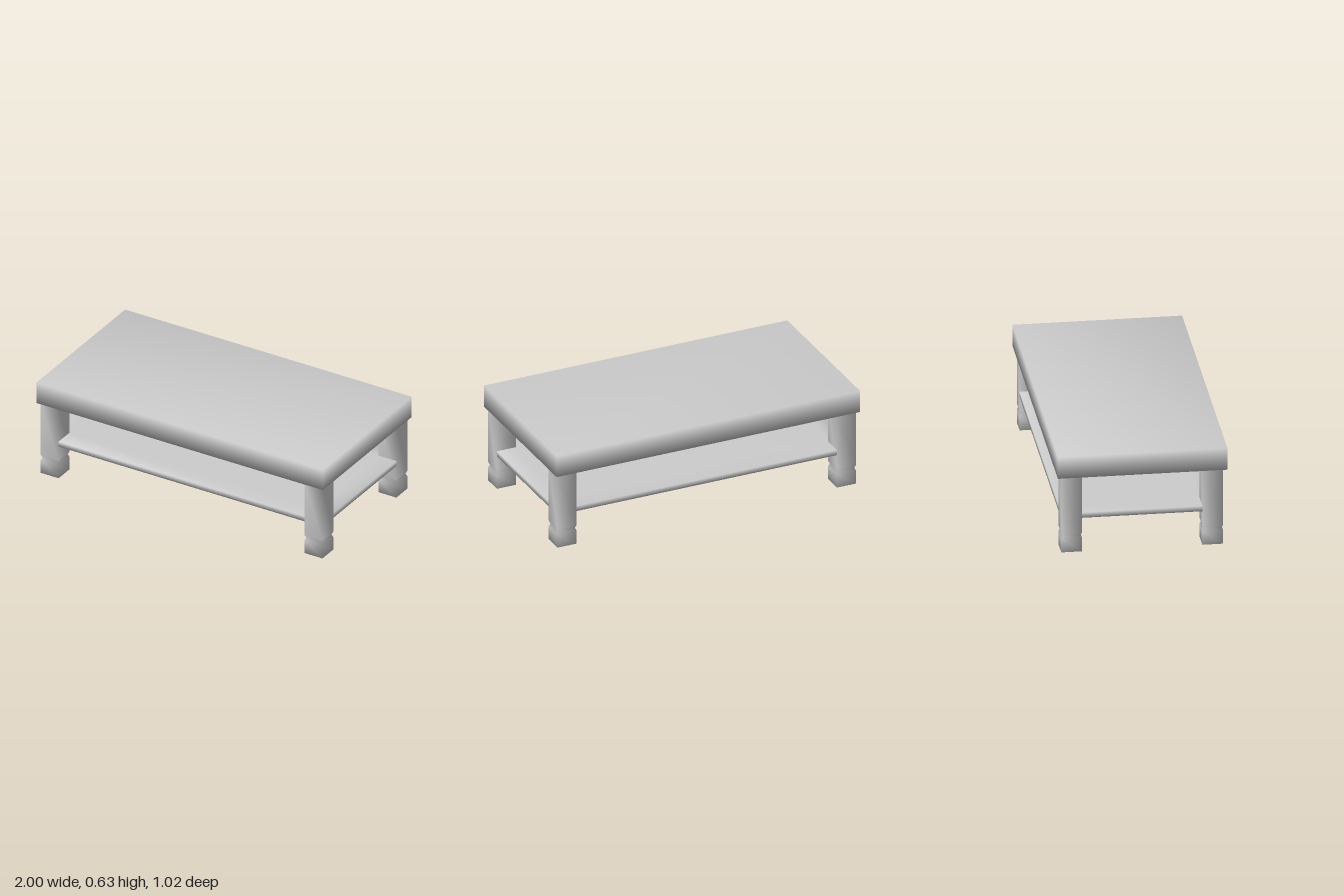
import * as THREE from 'three';
import { mergeVertices } from 'three/addons/utils/BufferGeometryUtils.js';

const material = new THREE.MeshStandardMaterial({ color: 0xcccccc });

// Weld shared corners so the shading is smooth over every edge
function smoothMesh(geometry, name) {
  geometry.deleteAttribute('uv');
  geometry.deleteAttribute('normal');
  const welded = mergeVertices(geometry, 1e-4);
  welded.computeVertexNormals();
  const mesh = new THREE.Mesh(welded, material);
  mesh.name = name;
  return mesh;
}

// Square post with a shallow groove above the foot
function legGeometry(half) {
  const profile = [
    [0, 0], [half, 0], [half, 0.087], [half - 0.008, 0.105], [half, 0.123], [half, 0.487],
  ].map(([r, y]) => new THREE.Vector2(r * Math.SQRT2, y));
  return new THREE.LatheGeometry(profile, 4, Math.PI / 4);
}

// Plank with its corners cut out to fit between the legs
function shelfGeometry(outX, outZ, inX, inZ, thickness) {
  const shape = new THREE.Shape([
    [inX, -outZ], [inX, -inZ], [outX, -inZ], [outX, inZ], [inX, inZ], [inX, outZ],
    [-inX, outZ], [-inX, inZ], [-outX, inZ], [-outX, -inZ], [-inX, -inZ], [-inX, -outZ],
  ].map(([x, z]) => new THREE.Vector2(x, z)));
  return new THREE.ExtrudeGeometry(shape, { depth: thickness, bevelEnabled: false })
    .rotateX(-Math.PI / 2);
}

export function createModel() {
  const table = new THREE.Group();
  table.name = 'coffeeTable';

  const top = smoothMesh(new THREE.BoxGeometry(2, 0.14, 1.02), 'tableTop');
  top.position.y = 0.557;
  table.add(top);

  const shelf = smoothMesh(shelfGeometry(0.983, 0.487, 0.858, 0.362, 0.034), 'shelf');
  shelf.position.y = 0.218;
  table.add(shelf);

  // Four legs, mirrored about both axes
  for (const sx of [1, -1]) {
    for (const sz of [1, -1]) {
      const name = (sz > 0 ? 'front' : 'back') + (sx > 0 ? 'Left' : 'Right') + 'Leg';
      const leg = smoothMesh(legGeometry(0.0625), name);
      leg.position.set(sx * 0.9205, 0, sz * 0.4245);
      table.add(leg);
    }
  }
  return table;
}
